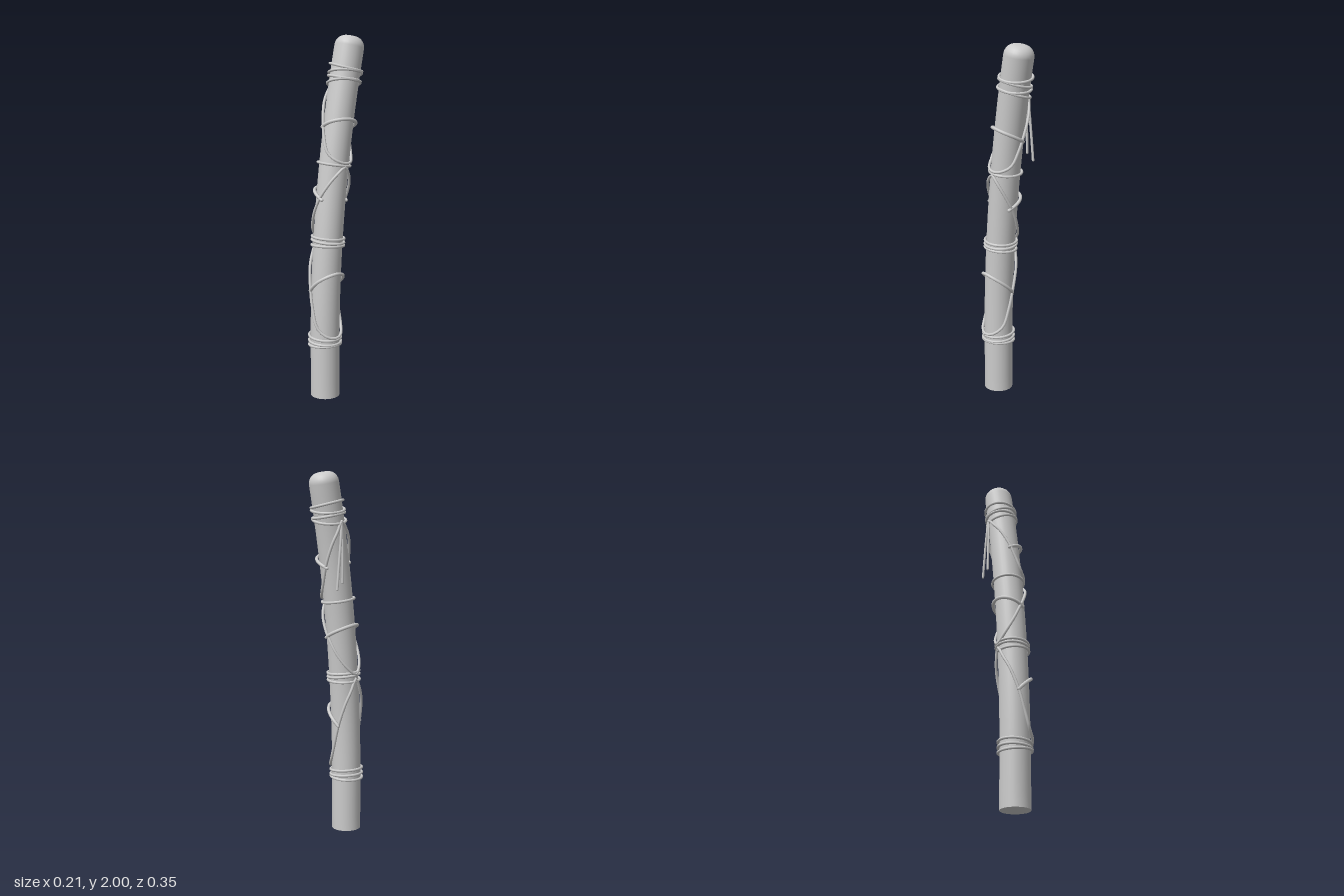
import * as THREE from 'three';
import { mergeVertices } from 'three/addons/utils/BufferGeometryUtils.js';

const R = 0.081;       // stick radius
const WRAP = 0.089;    // distance of the cord from the stick's axis
const HEIGHT = 1.993;

// Axis of the stick: straight at the foot, then bending backwards
const bend = (y) => Math.max(0, y - 0.3);
const axisZ = (y) => 0.082 - 0.0657 * bend(y) ** 2;

// Point at height y, offset (x, z) in the plane square to the axis
function onStick(x, y, z) {
  const slope = -0.1314 * bend(y);
  const len = Math.hypot(1, slope);
  return new THREE.Vector3(x, y - (z * slope) / len, axisZ(y) + z / len);
}

// Point on the wrapped surface; angle 0 is +x, 90 degrees is the front
const around = (angle, y, r = WRAP) => onStick(r * Math.cos(angle), y, r * Math.sin(angle));

export function createModel() {
  const model = new THREE.Group();
  const material = new THREE.MeshStandardMaterial({ color: 0xcccccc });

  const add = (geometry, name) => {
    const mesh = new THREE.Mesh(geometry, material);
    mesh.name = name;
    model.add(mesh);
  };

  const cord = (points, radius, name, closed = false) => {
    const path = new THREE.CatmullRomCurve3(points, closed);
    add(new THREE.TubeGeometry(path, points.length * 3, radius, 8, closed), name);
    if (closed) return;
    for (const end of [points[0], points[points.length - 1]]) {
      add(new THREE.SphereGeometry(radius, 8, 6).translate(end.x, end.y, end.z), name + 'End');
    }
  };

  // Bent stick with a rounded top
  const profile = [];
  const edge = 0.055;
  for (let i = 0; i <= 24; i++) profile.push(new THREE.Vector2(R, ((HEIGHT - edge) * i) / 24));
  for (let i = 1; i <= 6; i++) {
    const a = (i / 6) * Math.PI / 2;
    profile.push(new THREE.Vector2(R - edge + edge * Math.cos(a), HEIGHT - edge + edge * Math.sin(a)));
  }
  profile.push(new THREE.Vector2(0, HEIGHT + 0.001));
  let stick = new THREE.LatheGeometry(profile, 28);
  const pos = stick.attributes.position;
  for (let i = 0; i < pos.count; i++) {
    const p = onStick(pos.getX(i), pos.getY(i), pos.getZ(i));
    pos.setXYZ(i, p.x, p.y, p.z);
  }
  stick.deleteAttribute('uv');
  stick.deleteAttribute('normal');
  stick = mergeVertices(stick, 1e-5);
  stick.computeVertexNormals();
  add(stick, 'stick');
  add(new THREE.CircleGeometry(R, 28).rotateX(Math.PI / 2).translate(0, 0, axisZ(0)), 'stickFoot');

  // Level turns of cord: height and how far the turn rises towards +x
  const turns = [
    [0.302, 0.006], [0.32, -0.006], [0.348, -0.008],
    [0.864, 0.004], [0.888, -0.006], [0.908, -0.003],
    [1.31, -0.004],
    [1.745, 0.02], [1.768, -0.006], [1.798, 0.014], [1.828, -0.013],
  ];
  for (const [y, tilt] of turns) {
    const points = [];
    for (let i = 0; i < 14; i++) {
      const a = (i / 14) * Math.PI * 2;
      points.push(around(a, y + tilt * Math.cos(a)));
    }
    cord(points, 0.0075, 'cordTurn', true);
  }

  // Slanting loops: high on one side, low on the other, alternating sides
  const degrees = [0, 22, 45, 73, 90, 113, 150, 180];
  const steep = [1, 0.88, 0.74, 0.5, 0.31, 0.11, 0.02, 0];
  const even = [1, 0.92, 0.8, 0.62, 0.5, 0.32, 0.1, 0];
  const slants = [
    { high: Math.PI, bottom: 0.352, top: 0.875, drop: steep },
    { high: 0, bottom: 0.9, top: 1.3, drop: even },
    { high: Math.PI, bottom: 1.32, top: 1.735, drop: steep },
  ];
  for (const { high, bottom, top, drop } of slants) {
    const points = [];
    const put = (i, sign) => points.push(around(
      high + sign * THREE.MathUtils.degToRad(degrees[i]), bottom + (top - bottom) * drop[i], WRAP + 0.003));
    for (let i = 0; i < 8; i++) put(i, 1);
    for (let i = 6; i > 0; i--) put(i, -1);
    cord(points, 0.008, 'slantingLoop', true);
  }

  // Half loops hooked onto the slanting loops
  for (const [side, y, fall] of [[0, 0.718, 0.105], [Math.PI, 1.175, 0.06], [0, 1.555, 0.055]]) {
    const points = [];
    for (let i = -6; i <= 6; i++) {
      const t = i / 6;
      points.push(around(side + t * 1.87, y - fall * Math.abs(t) ** 1.8, WRAP + 0.004));
    }
    cord(points, 0.0095, 'halfLoop');
  }

  // Loose ends hanging from the upper binding
  const knot = new THREE.Vector3(-0.092, 1.735, -0.055);
  cord([knot, new THREE.Vector3(-0.097, 1.65, -0.065), new THREE.Vector3(-0.099, 1.5, -0.083),
    new THREE.Vector3(-0.1, 1.375, -0.097)], 0.007, 'looseEnd');
  cord([knot, new THREE.Vector3(-0.093, 1.65, -0.05), new THREE.Vector3(-0.095, 1.53, -0.05),
    new THREE.Vector3(-0.096, 1.41, -0.052)], 0.007, 'looseEnd');

  return model;
}
